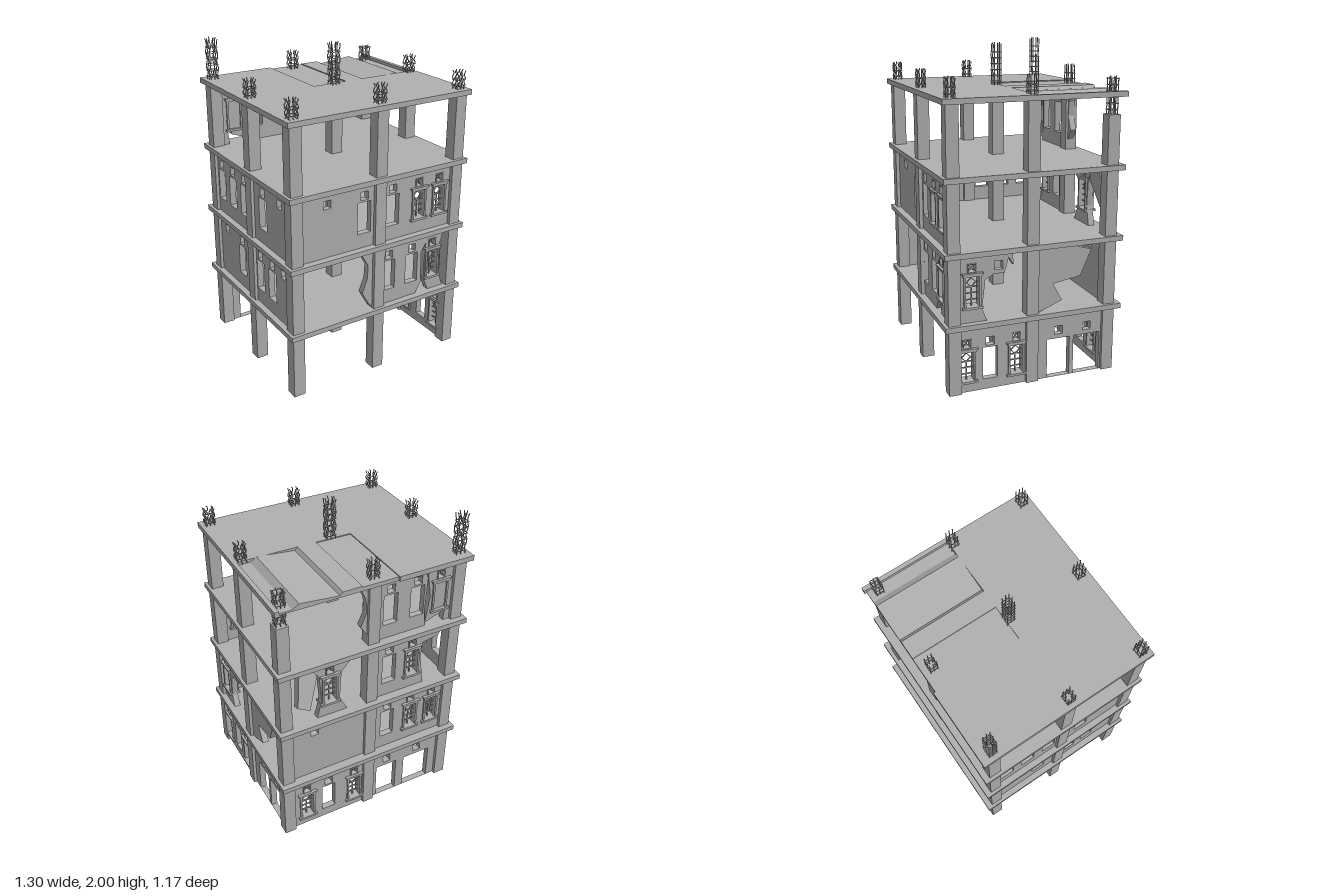
import * as THREE from 'three';
import { mergeGeometries } from 'three/addons/utils/BufferGeometryUtils.js';

const concrete = new THREE.MeshStandardMaterial({ color: 0xb0b0b0 });
concrete.name = 'concrete grey';

const FLOORS = [0, 0.434, 0.868, 1.302];
const HEIGHT = 0.403;
const WALL = 0.04;
const COL = 0.076;
const colX = [-0.57, 0, 0.57];
const colZ = [-0.488, 0.018, 0.503];

function add(parent, geometry, name, x = 0, y = 0, z = 0) {
  const mesh = new THREE.Mesh(geometry, concrete);
  mesh.name = name;
  mesh.position.set(x, y, z);
  parent.add(mesh);
  return mesh;
}

const box = (w, h, d, x = 0, y = 0, z = 0, turn = 0) =>
  new THREE.BoxGeometry(w, h, d).rotateZ(turn).translate(x, y, z);

const rect = (x0, x1, y0, y1) => [[x0, y0], [x1, y0], [x1, y1], [x0, y1]];
const toShape = (pts) => new THREE.Shape(pts.map((p) => new THREE.Vector2(...p)));

// Flat panel with holes, centred on its thickness
function panel(outline, holes, thick = WALL) {
  const shape = toShape(outline);
  for (const h of holes) shape.holes.push(toShape(h));
  return new THREE.ExtrudeGeometry(shape, { depth: thick, bevelEnabled: false }).translate(0, 0, -thick / 2);
}

// Window frame with lattice: diamond above, square panes below
function windowGeometry() {
  const parts = [
    box(0.012, 0.2, 0.06, -0.046, 0.1), box(0.012, 0.2, 0.06, 0.046, 0.1),
    box(0.125, 0.014, 0.078, 0, 0), box(0.115, 0.014, 0.07, 0, 0.197),
    box(0.13, 0.008, 0.078, 0, 0.207),
    box(0.006, 0.13, 0.008, 0, 0.065), box(0.006, 0.03, 0.008, 0, 0.185),
  ];
  for (const y of [0.045, 0.085, 0.122]) parts.push(box(0.084, 0.006, 0.008, 0, y));
  for (const sx of [-1, 1]) {
    for (const sy of [-1, 1]) {
      parts.push(box(0.042, 0.005, 0.008, sx * 0.014, 0.148 + sy * 0.014, 0, -sx * sy * Math.PI / 4));
    }
    parts.push(box(0.022, 0.005, 0.008, sx * 0.034, 0.148));
  }
  return mergeGeometries(parts);
}

// Small vent with a crossed brace
function ventGeometry() {
  const parts = [box(0.07, 0.005, 0.008, 0, 0, 0, Math.PI / 4), box(0.07, 0.005, 0.008, 0, 0, 0, -Math.PI / 4)];
  for (const s of [-1, 1]) {
    parts.push(box(0.006, 0.058, 0.05, s * 0.026, 0), box(0.058, 0.006, 0.05, 0, s * 0.026));
  }
  return mergeGeometries(parts);
}
const windowGeo = windowGeometry();
const ventGeo = ventGeometry();

// features: g = glazed window, o = plain opening, s = vent only, d = door [from, to]
function buildWall(parent, level, outline, features, name) {
  const base = FLOORS[level];
  const sill = base + (level === 0 ? 0.065 : 0.092);
  const holes = [];
  const group = new THREE.Group();
  group.name = name;
  for (const [type, a, b] of features) {
    const c = type === 'd' ? (a + b) / 2 : a;
    const ventY = sill + 0.238;
    holes.push(rect(c - 0.026, c + 0.026, ventY - 0.026, ventY + 0.026));
    if (type === 'g') {
      holes.push(rect(c - 0.045, c + 0.045, sill, sill + 0.2));
      add(group, windowGeo, 'window', c, sill, 0);
      add(group, ventGeo, 'vent', c, ventY, 0);
    } else if (type === 'o') {
      holes.push(rect(c - 0.046, c + 0.046, sill, sill + 0.2));
    } else if (type === 'd') {
      holes.push(rect(a, b, base + 0.001, base + 0.25));
    }
  }
  add(group, panel(outline.map(([x, y]) => [x, base + y]), holes), 'wallPanel');
  parent.add(group);
  return group;
}

// Reinforcement cage: wavy bars and ties
function cageGeometry(height, ties) {
  const parts = [];
  for (const i of [-1, 0, 1]) for (const j of [-1, 0, 1]) {
    if (!i && !j) continue;
    const pts = [];
    for (let k = 0; k <= 10; k++) {
      const sway = 0.004 * Math.sin(k * 1.9 + i + j);
      pts.push(new THREE.Vector3(i * 0.026 + sway, (k / 10) * height * (1 - 0.03 * Math.abs(i * j)), j * 0.022 + sway * 0.6));
    }
    parts.push(new THREE.TubeGeometry(new THREE.CatmullRomCurve3(pts), 18, 0.0032, 5));
  }
  for (let t = 1; t <= ties; t++) {
    const y = t * 0.036;
    for (const s of [-1, 1]) {
      parts.push(box(0.06, 0.004, 0.004, 0, y, s * 0.025), box(0.004, 0.004, 0.052, s * 0.029, y, 0));
    }
  }
  return mergeGeometries(parts);
}

export function createModel() {
  const model = new THREE.Group();
  model.name = 'ruinedBuilding';
  const body = new THREE.Group();
  body.name = 'building';
  body.rotation.y = -0.04;
  model.add(body);

  // Columns and exposed reinforcement
  colX.forEach((x, i) => colZ.forEach((z, j) => {
    const broken = i === 2 && j === 0;
    const tall = (i === 1 && j === 1) || (i === 0 && j === 0);
    const top = broken ? 1.6 : 1.71;
    add(body, box(COL, top, COL), 'column', x, top / 2, z);
    const start = broken ? 1.59 : 1.72;
    const h = broken ? 0.23 : tall ? 0.275 : 0.13;
    add(body, cageGeometry(h, tall || broken ? 6 : 2), 'reinforcement', x, start, z);
  }));

  // Floor slabs
  for (const y of [0.418, 0.852, 1.286]) add(body, box(1.254, 0.032, 1.125), 'floorSlab', 0, y, 0);

  // Roof slab with a broken, uneven rear section
  const roof = panel([[-0.627, -0.5625], [0.627, -0.5625], [0.627, 0.5625], [0.6, 0.5625], [0.6, 0],
    [-0.13, 0], [-0.13, 0.5625], [-0.627, 0.5625]], [], 0.032).rotateX(-Math.PI / 2);
  add(body, roof, 'roofSlab', 0, 1.72, 0);
  const sag = panel([[-0.13, -0.032], [0.6, -0.032], [0.6, -0.02], [0.52, -0.02], [0.48, 0.005], [0.24, -0.018],
    [0.22, 0], [0.1, 0], [0.1, -0.006], [-0.13, -0.006]], [], 0.55);
  add(body, sag, 'brokenRoof', 0, 1.736, -0.275);

  // Each side has its own frame; side walls run along z
  const side = (name, x, z, turn) => {
    const g = new THREE.Group();
    g.name = name;
    g.position.set(x, 0, z);
    g.rotation.y = turn;
    body.add(g);
    return g;
  };
  const front = side('frontWalls', 0, colZ[2] - 0.005, 0);
  const back = side('backWalls', 0, colZ[0] + 0.003, 0);
  const right = side('plusXWalls', 0.568, 0, -Math.PI / 2);
  const left = side('minusXWalls', -0.568, 0, -Math.PI / 2);
  const H = HEIGHT;
  const minus = rect(-0.535, -0.035, 0, H);
  const plus = rect(0.035, 0.535, 0, H);
  const rear = rect(-0.452, -0.018, 0, H);
  const fore = rect(0.054, 0.487, 0, H);

  // Ground storey
  buildWall(back, 0, minus, [['d', -0.475, -0.28], ['d', -0.22, -0.07]], 'doorWall');
  buildWall(back, 0, plus, [['g', 0.1], ['o', 0.285], ['g', 0.44]], 'windowWall');
  buildWall(right, 0, fore, [['g', 0.115], ['o', 0.28], ['g', 0.425]], 'windowWall');
  buildWall(right, 0, rear, [['d', -0.236, -0.087], ['d', -0.44, -0.263]], 'doorWall');

  // Second storey
  buildWall(back, 1, minus, [['g', -0.455], ['g', -0.3], ['o', -0.13]], 'windowWall');
  buildWall(back, 1, plus, [['s', 0.38]], 'plainWall');
  buildWall(left, 1, rear, [['s', -0.35], ['o', -0.14]], 'windowWall');
  buildWall(left, 1, fore, [['o', 0.11], ['o', 0.26], ['s', 0.4]], 'windowWall');
  buildWall(front, 1, [[-0.035, 0], [-0.06, 0.03], [-0.11, 0.12], [-0.075, 0.21], [-0.07, 0.3], [-0.12, 0.385],
    [-0.11, H], [-0.035, H]], [], 'brokenWall');
  buildWall(front, 1, [[0.035, 0], [0.3, 0], [0.34, 0.07], [0.335, 0.28], [0.38, 0.36], [0.39, H], [0.035, H]],
    [['o', 0.085], ['o', 0.26]], 'brokenWall');
  const shard = [[0.4, 0], [0.52, 0], [0.475, 0.12], [0.478, 0.29], [0.51, H], [0.375, H], [0.36, 0.2], [0.365, 0.08]];
  buildWall(front, 1, shard, [['g', 0.42]], 'windowShard');
  buildWall(right, 1, [[0.3, 0], [0.487, 0], [0.487, H], [0.14, H], [0.135, 0.32], [0.165, 0.37], [0.19, 0.28],
    [0.26, 0.28], [0.31, 0.25], [0.33, 0.08]], [['g', 0.39], ['s', 0.228]], 'brokenWall');
  buildWall(right, 1, [[-0.018, 0], [-0.08, 0.02], [-0.18, 0.06], [-0.12, 0.17], [-0.3, 0.2], [-0.37, 0.36],
    [-0.22, H], [-0.018, H]], [], 'brokenWall');

  // Third storey
  buildWall(front, 2, minus, [['s', -0.36], ['o', -0.105]], 'windowWall');
  buildWall(front, 2, plus, [['o', 0.1], ['g', 0.295], ['g', 0.45]], 'windowWall');
  buildWall(left, 2, rear, [['o', -0.39], ['o', -0.237], ['o', -0.08]], 'windowWall');
  buildWall(left, 2, fore, [['o', 0.165], ['s', 0.37]], 'windowWall');
  buildWall(back, 2, [[-0.38, 0], [-0.035, 0], [-0.035, H], [-0.5, H], [-0.47, 0.33], [-0.36, 0.31], [-0.35, 0.2]],
    [['o', -0.125], ['g', -0.285]], 'brokenWall');
  buildWall(back, 2, [[0.16, 0], [0.36, 0], [0.33, 0.12], [0.345, 0.3], [0.42, H], [0.1, H], [0.2, 0.29], [0.21, 0.1]],
    [['g', 0.275]], 'brokenWall');
  // Fallen piece leaning out of the gap
  const lean = add(back, panel([[-0.05, -0.13], [0.04, -0.11], [0.07, 0.1], [0.0, 0.14], [-0.06, 0.08]], []),
    'leaningPiece', 0.44, 1.12, -0.02);
  lean.rotation.set(0.2, 0.15, 0.3);

  // Fourth storey, mostly gone
  buildWall(back, 3, [[-0.535, 0], [-0.49, 0.0], [-0.505, 0.15], [-0.49, 0.3], [-0.535, H]], [], 'wallStub');
  buildWall(back, 3, [[-0.47, 0.06], [-0.36, 0.02], [-0.385, 0.2], [-0.36, 0.35], [-0.41, H], [-0.53, H], [-0.515, 0.2]],
    [['g', -0.45]], 'windowShard');
  buildWall(back, 3, [[-0.36, 0], [-0.035, 0], [-0.035, H], [-0.22, H], [-0.225, 0.37], [-0.34, 0.385], [-0.36, 0.33],
    [-0.352, 0.12]], [['o', -0.295], ['o', -0.115]], 'brokenWall');
  buildWall(back, 3, [[0.035, 0.06], [0.08, 0.13], [0.04, 0.22], [0.05, 0.31], [0.085, 0.38], [0.035, H]], [], 'wallStub');

  return model;
}
